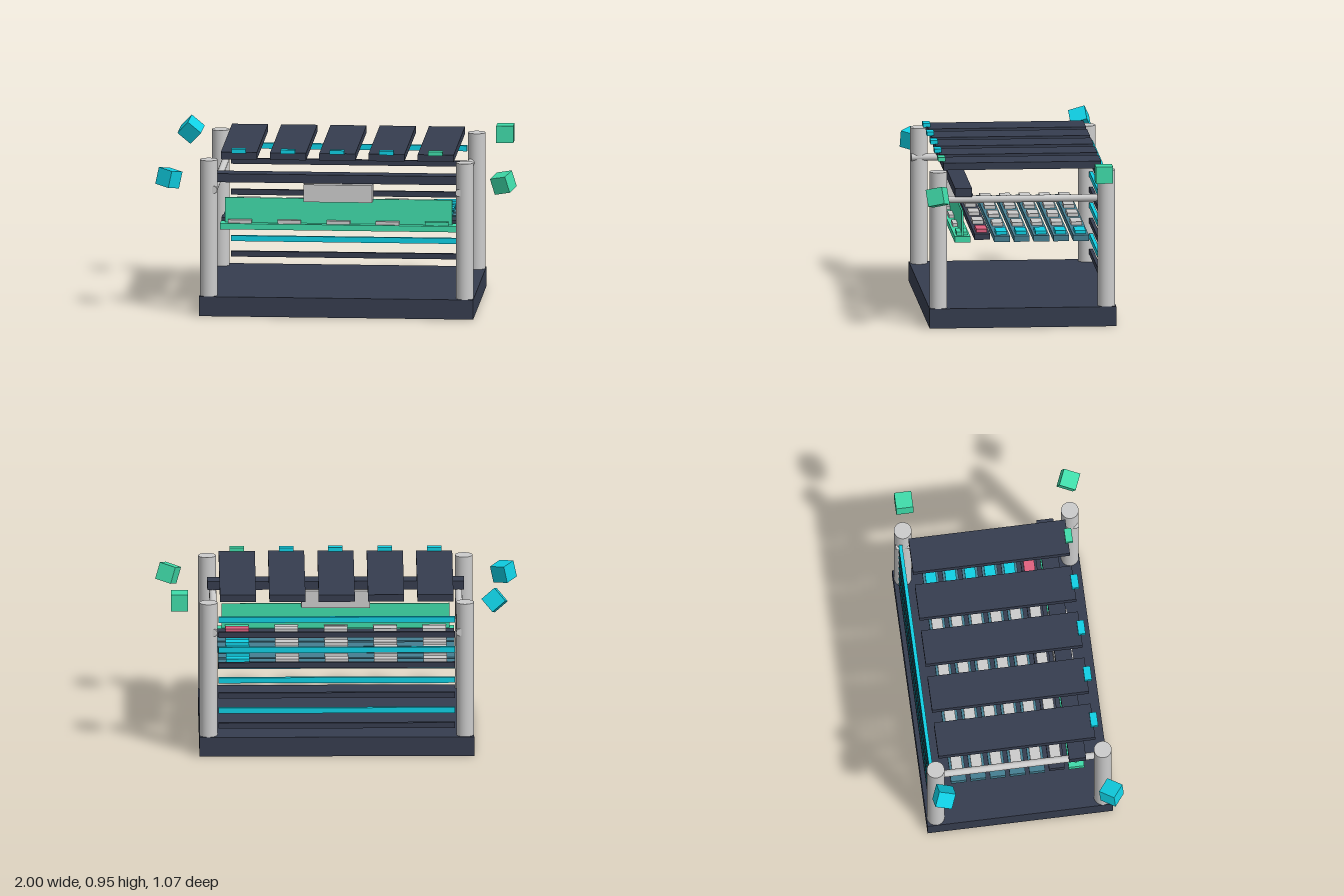
import * as THREE from 'three';

const mat = (color) => new THREE.MeshStandardMaterial({ color });
const GREY = mat(0xcccccc), DARK = mat(0x363d4f), CYAN = mat(0x10d0e4);
const GREEN = mat(0x40dcaa), TEAL = mat(0x457f92), PINK = mat(0xe0607f);

export function createModel() {
  const model = new THREE.Group();
  model.name = 'slattedFrame';

  const add = (name, geometry, material, x, y, z) => {
    const mesh = new THREE.Mesh(geometry, material);
    mesh.name = name;
    mesh.position.set(x, y, z);
    model.add(mesh);
    return mesh;
  };
  const box = (name, material, w, h, d, x, y, z) =>
    add(name, new THREE.BoxGeometry(w, h, d), material, x, y, z);

  // Base slab
  box('base', DARK, 1.52, 0.11, 1.036, 0, 0.055, -0.02);

  // Corner posts and round side rails
  for (const side of [-1, 1]) {
    for (const z of [0.446, -0.486]) {
      add('post', new THREE.CylinderGeometry(0.049, 0.049, 0.872, 32), GREY, side * 0.71, 0.437, z);
    }
    const rail = add('sideRail', new THREE.CylinderGeometry(0.02, 0.02, 1.02, 24), GREY, side * 0.68, 0.709, -0.02);
    rail.rotation.x = Math.PI / 2;
  }

  // Back rails, alternating dark and bright
  for (let i = 0; i < 8; i++) {
    box('backRail', i % 2 ? CYAN : DARK, 1.31, 0.031, 0.02, 0, 0.17 + i * 0.087, -0.506);
  }

  // Roof slats, each with a small light at its front end
  const columns = [-2, -1, 0, 1, 2].map((i) => i * 0.273);
  columns.forEach((x, i) => {
    box('roofSlat', DARK, 0.2, 0.04, 0.875, x, 0.888, -0.025);
    box('slatLight', i === 4 ? GREEN : CYAN, 0.08, 0.022, 0.04, x, 0.918, 0.417);
  });

  // Cross beam, hanging block and upright panel
  box('crossBeam', DARK, 1.42, 0.048, 0.094, 0, 0.752, 0.306);
  box('hangingBlock', GREY, 0.38, 0.098, 0.108, 0, 0.673, 0.308);
  box('panel', GREEN, 1.26, 0.145, 0.009, 0, 0.563, 0.306);

  // Floating shelf rows; the last tab of each row is coloured
  const rows = [[GREEN, GREEN, 0], [DARK, PINK, 0.014]];
  for (let i = 0; i < 5; i++) rows.push([TEAL, CYAN, 0]);
  rows.forEach(([bar, accent, lift], i) => {
    const z = 0.307 - i * 0.1095;
    box('shelfRow', bar, 1.31, 0.033, 0.087, 0, 0.479 + lift, z);
    columns.forEach((x, c) => {
      box('shelfTab', c === 4 ? accent : GREY, 0.13, 0.019, 0.06, x, 0.505 + lift, z);
    });
  });

  // Loose cubes around the four top corners
  const cubes = [
    [GREEN, 0.87, 0.876, -0.46, 0, 0, 0],
    [GREEN, 0.925, 0.767, 0.466, 0.25, -0.35, 0.3],
    [CYAN, -0.873, 0.875, -0.46, 0.3, -0.15, -0.7],
    [CYAN, -0.93, 0.77, 0.466, -0.2, -0.6, -0.25],
  ];
  for (const [material, x, y, z, rx, ry, rz] of cubes) {
    box('floatingCube', material, 0.095, 0.095, 0.095, x, y, z).rotation.set(rx, ry, rz);
  }

  return model;
}
